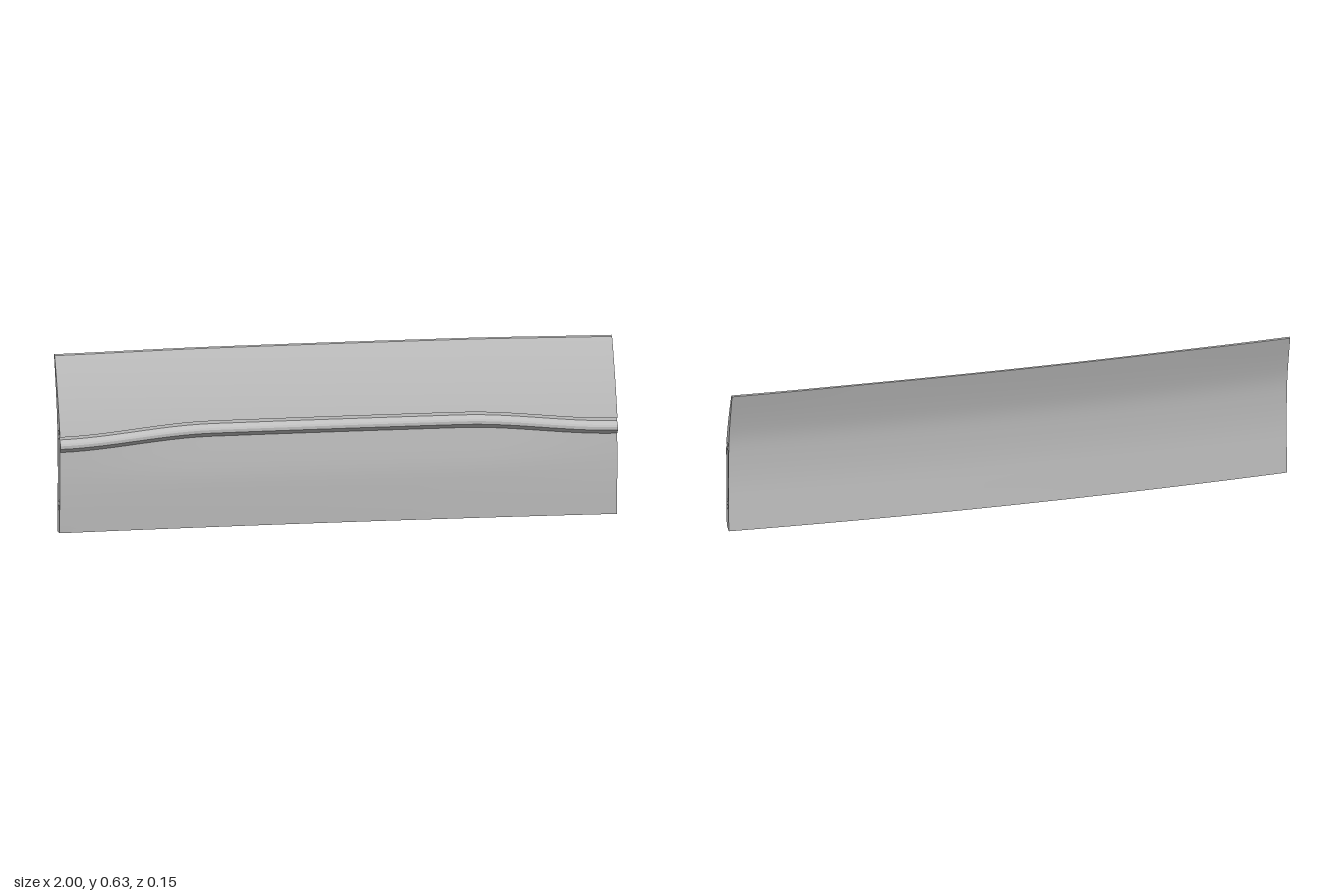
import * as THREE from 'three';
import { mergeGeometries } from 'three/addons/utils/BufferGeometryUtils.js';

const N = 40; // steps along the length
const xs = Array.from({ length: N + 1 }, (_, i) => -1 + (2 * i) / N);
const bow = x => 0.022 * (1 - x * x);
const rise = x => 1 - THREE.MathUtils.smoothstep(Math.abs(x), 0.45, 1);
const upperZ = y => 0.063 - 0.27 * (y - 0.345) - 0.35 * (y - 0.345) ** 2;

const spline = (pts, n) => new THREE.SplineCurve(pts.map(p => new THREE.Vector2(...p))).getPoints(n).map(p => [p.x, p.y]);

// Cross-section at x as chains of [z, y]; edges between chains stay sharp
function profile(x) {
  const r = rise(x), lift = 0.035 * r, top = 0.622 + 0.004 * r;
  const back = spline([[0.013, 0], [0.017, 0.1], [0.02, 0.2], [0.017, 0.3], [0.008, 0.4], [-0.015, 0.5], [-0.051, top + 0.001]], 28);
  const upper = [];
  for (let i = 0; i <= 16; i++) {
    const y = THREE.MathUtils.lerp(top - 0.002, 0.345 + lift, i / 16);
    upper.push([upperZ(y), y]);
  }
  const g = (z, y) => [z - 0.2 * lift, y + lift];
  const groove = [upper[16], g(0.053, 0.345), g(0.055, 0.335), g(0.069, 0.322), g(0.073, 0.315), g(0.073, 0.304), g(0.058, 0.29)];
  const lower = spline([groove[6], [0.06, 0.2], [0.058, 0.1], [0.053, 0]], 14);
  const chains = [back, [back[28], upper[0]], upper];
  for (let i = 0; i < 6; i++) chains.push([groove[i], groove[i + 1]]);
  chains.push(lower);
  return chains.map(c => c.map(([z, y]) => [z - bow(x), y]));
}

// Grid surface from rows of points
function sheet(rows) {
  const m = rows[0].length, index = [];
  for (let i = 0; i < rows.length - 1; i++) {
    for (let j = 0; j < m - 1; j++) {
      const a = i * m + j, b = a + 1, c = a + m, d = c + 1;
      index.push(a, b, c, b, d, c);
    }
  }
  const g = new THREE.BufferGeometry();
  g.setAttribute('position', new THREE.Float32BufferAttribute(rows.flat(2), 3));
  g.setIndex(index);
  g.computeVertexNormals();
  return g;
}

// Flat face with tapered pockets; map places (u, v, depth) in space
function pocketedFace(outline, pockets, map) {
  const vec = pts => {
    const v = pts.map(p => new THREE.Vector2(...p));
    return THREE.ShapeUtils.isClockWise(v) ? v.reverse() : v;
  };
  const flat = (pts, holes, depth) => {
    const shape = new THREE.Shape(pts);
    shape.holes = holes.map(h => new THREE.Path(h));
    const g = new THREE.ShapeGeometry(shape).toNonIndexed(), p = g.attributes.position;
    for (let i = 0; i < p.count; i++) p.setXYZ(i, ...map(p.getX(i), p.getY(i), depth));
    g.deleteAttribute('uv');
    g.computeVertexNormals();
    return g;
  };
  const parts = [flat(vec(outline), pockets.map(k => vec(k.outer)), 0)];
  for (const { outer, inner, depth } of pockets) {
    const o = vec(outer), n = vec(inner), pos = [];
    o.forEach((a, i) => {
      const j = (i + 1) % o.length;
      const A = map(a.x, a.y, 0), B = map(o[j].x, o[j].y, 0);
      const C = map(n[j].x, n[j].y, depth), D = map(n[i].x, n[i].y, depth);
      pos.push(...A, ...B, ...C, ...A, ...C, ...D);
    });
    const walls = new THREE.BufferGeometry();
    walls.setAttribute('position', new THREE.Float32BufferAttribute(pos, 3));
    walls.computeVertexNormals();
    parts.push(walls, flat(n, [], depth));
  }
  return mergeGeometries(parts);
}

const circle = (u, v, r) => Array.from({ length: 20 }, (_, i) => {
  const a = (i / 20) * Math.PI * 2;
  return [u + r * Math.cos(a), v + r * Math.sin(a)];
});
const roundHole = (u, v, r) => ({ outer: circle(u, v, r), inner: circle(u, v, r * 0.9), depth: 0.02 });

export function createModel() {
  const group = new THREE.Group();
  const grey = new THREE.MeshStandardMaterial({ color: 0xbfbfbf });
  grey.name = 'panelGrey';
  const add = (geometry, name) => {
    const mesh = new THREE.Mesh(geometry, grey);
    mesh.name = name;
    group.add(mesh);
  };

  // Long skins swept along x
  const sections = xs.map(profile);
  const names = ['backSkin', 'topEdge', 'upperFrontSkin', 'grooveOverhang', 'grooveFloor', 'ribUpperSlope',
    'ribShoulder', 'ribFace', 'ribUnderside', 'lowerFrontSkin'];
  names.forEach((name, c) => add(sheet(sections.map((s, i) => s[c].map(([z, y]) => [xs[i], y, z]))), name));

  // End faces with slot, peg holes and hollow rib end
  const outline = profile(1).flatMap(c => c.slice(0, -1)).concat([[0.053, 0]]);
  for (const s of [1, -1]) {
    const flip = pts => pts.map(([z, y]) => [-s * z, y]);
    const slot = {
      outer: flip([[0.049, 0.112], [0.026, 0.112], [0.026, 0.335], [0.049, 0.335]]),
      inner: flip([[0.042, 0.125], [0.033, 0.125], [0.033, 0.322], [0.042, 0.322]]), depth: 0.02,
    };
    const ribHollow = {
      outer: flip([[0.0535, 0.333], [0.055, 0.304], [0.068, 0.319]]),
      inner: flip([[0.056, 0.323], [0.0565, 0.314], [0.061, 0.319]]), depth: 0.02,
    };
    const pockets = [slot, ribHollow, roundHole(-s * 0.0355, 0.358, 0.009), roundHole(-s * 0.038, 0.09, 0.009)];
    add(pocketedFace(flip(outline), pockets, (u, v, d) => [s * (1 - d), v, -s * u]), s > 0 ? 'leftEnd' : 'rightEnd');
  }

  // Underside with two long slots and three peg holes
  const band = (x0, x1, z0, z1) => {
    const line = Array.from({ length: 17 }, (_, i) => x0 + ((x1 - x0) * i) / 16);
    return [...line.map(x => [x, z0 - bow(x)]), ...line.reverse().map(x => [x, z1 - bow(x)])];
  };
  const under = [...xs.map(x => [x, 0.013 - bow(x)]), ...[...xs].reverse().map(x => [x, 0.053 - bow(x)])];
  const longSlot = (a, b) => ({ outer: band(a, b, 0.024, 0.044), inner: band(a + 0.01, b - 0.01, 0.029, 0.039), depth: 0.015 });
  const holes = [-0.86, 0, 0.86].map(x => roundHole(x, 0.034 - bow(x), 0.009));
  add(pocketedFace(under, [longSlot(-0.83, -0.03), longSlot(0.03, 0.83), ...holes], (u, v, d) => [u, d, v]), 'underside');

  return group;
}
